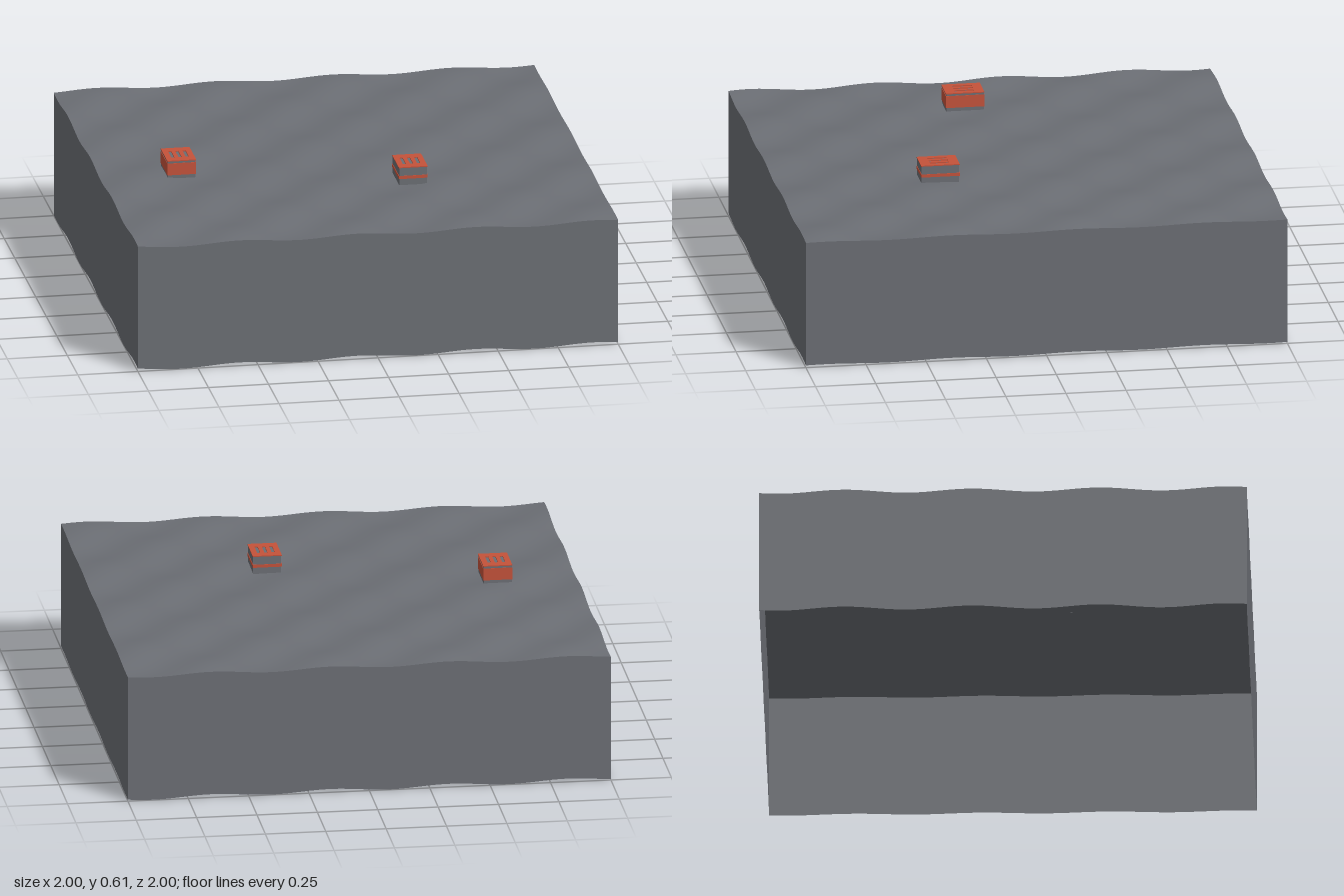
import * as THREE from 'three';

const SEG = 64;
const DEPTH = 0.529;

// Gentle ripples over the slab; almost flat along the +x edge
const height = (x, z) => 0.537 + 0.012 * Math.sin(12.8 * (x - 1.02)) * Math.sin(12 * z);

export function createModel() {
  const ground = new THREE.MeshStandardMaterial({ color: 0x6b6e74, side: THREE.DoubleSide });
  ground.name = 'slate grey';
  const grey = new THREE.MeshStandardMaterial({ color: 0x6b6e74 });
  grey.name = 'slate grey';
  const clay = new THREE.MeshStandardMaterial({ color: 0xc4523a });
  clay.name = 'brick orange';

  const model = new THREE.Group();
  model.name = 'groundWithBricks';

  const add = (parent, name, geometry, material, x = 0, y = 0, z = 0) => {
    const mesh = new THREE.Mesh(geometry, material);
    mesh.name = name;
    mesh.position.set(x, y, z);
    parent.add(mesh);
    return mesh;
  };

  // Rippled top surface
  const top = new THREE.PlaneGeometry(2, 2, SEG, SEG).rotateX(-Math.PI / 2);
  const p = top.attributes.position;
  for (let i = 0; i < p.count; i++) p.setY(i, height(p.getX(i), p.getZ(i)));
  top.computeVertexNormals();
  add(model, 'groundTop', top, ground);

  // Four walls hang from the rippled rim; the underside is open
  ['frontWall', 'leftWall', 'backWall', 'rightWall'].forEach((name, k) => {
    const wall = new THREE.PlaneGeometry(2, 1, SEG, 1).translate(0, 0, 1).rotateY(k * Math.PI / 2);
    const w = wall.attributes.position;
    for (let i = 0; i < w.count; i++) {
      const drop = w.getY(i) < 0 ? DEPTH : 0;
      w.setY(i, height(w.getX(i), w.getZ(i)) - drop);
    }
    add(model, name, wall, ground);
  });

  // Brick: grey core, slotted clay face on top, clay panels on the sides
  const W = 0.116, L = 0.156, H = 0.074;
  const makeBrick = (name, x, y, z, bandLow, bandHigh) => {
    const brick = new THREE.Group();
    brick.name = name;
    brick.position.set(x, y, z);
    model.add(brick);
    add(brick, 'brickCore', new THREE.BoxGeometry(W, H, L), grey, 0, H / 2, 0);

    const rect = (path, cx, w, l) => path
      .moveTo(cx - w / 2, -l / 2).lineTo(cx + w / 2, -l / 2)
      .lineTo(cx + w / 2, l / 2).lineTo(cx - w / 2, l / 2).closePath();
    const face = new THREE.Shape();
    rect(face, 0, W + 0.004, L + 0.004);
    for (const cx of [-0.03, 0, 0.03]) {
      const slot = new THREE.Path();
      rect(slot, cx, 0.013, 0.08);
      face.holes.push(slot);
    }
    const plate = new THREE.ExtrudeGeometry(face, { depth: 0.004, bevelEnabled: false }).rotateX(-Math.PI / 2);
    add(brick, 'slottedTop', plate, clay, 0, H, 0);

    const h = bandHigh - bandLow, cy = (bandHigh + bandLow) / 2;
    add(brick, 'sideBand', new THREE.BoxGeometry(W + 0.004, h, L + 0.004), clay, 0, cy, 0);
  };
  makeBrick('rightBrick', -0.67, 0.535, 0.08, 0.015, 0.066);
  makeBrick('leftBrick', 0.25, 0.537, 0.33, 0.027, 0.04);

  return model;
}
